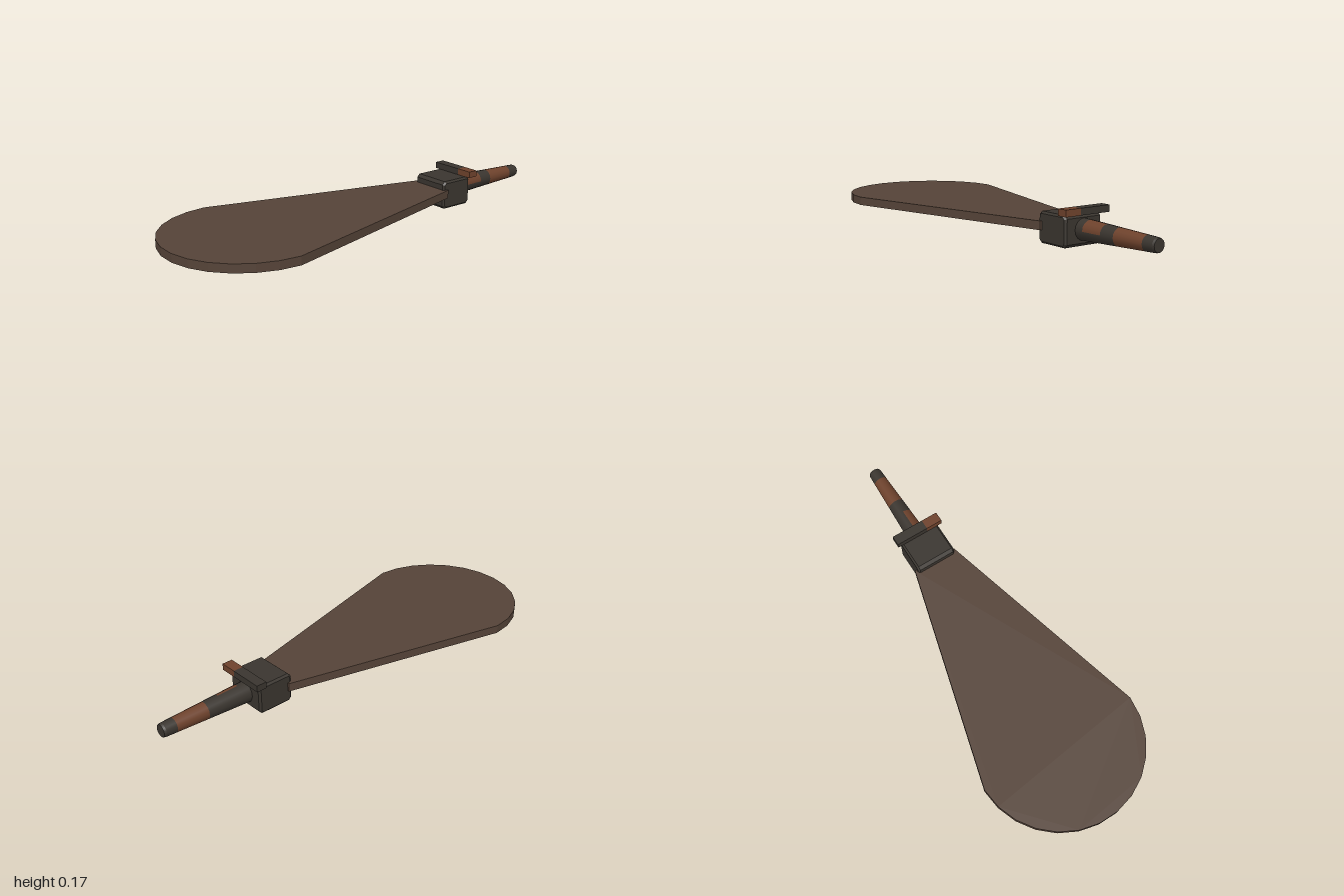
import * as THREE from 'three';

const mat = (name, color) => Object.assign(new THREE.MeshStandardMaterial({ color }), { name });

export function createModel() {
  const group = new THREE.Group();
  const wood = mat('brown wood', 0x554338);
  const iron = mat('dark iron', 0x3a352f);
  const rust = mat('rust', 0x6e422c);

  const add = (name, geometry, material) => {
    const mesh = new THREE.Mesh(geometry, material);
    mesh.name = name;
    group.add(mesh);
    return mesh;
  };

  // Teardrop paddle: half-round end, straight sides tapering to the block
  const outline = new THREE.Shape();
  outline.moveTo(0.43, 0.108);
  for (let i = 0; i <= 13; i++) {
    const a = Math.PI / 2 + (i / 13) * Math.PI;
    outline.lineTo(-0.617 + Math.cos(a) * 0.386, Math.sin(a) * 0.386);
  }
  outline.lineTo(0.43, -0.108);
  const paddle = new THREE.ExtrudeGeometry(outline, { depth: 0.039, bevelEnabled: false });
  paddle.rotateX(-Math.PI / 2).translate(0, 0.057, 0);
  add('paddle', paddle, wood);

  // Block with chamfered edges all round
  const c = 0.009, w = 0.0865 - c, h = 0.068 - c;
  const section = new THREE.Shape([
    [w, -h + c], [w, h - c], [w - c, h], [-w + c, h],
    [-w, h - c], [-w, -h + c], [-w + c, -h], [w - c, -h],
  ].map(([x, y]) => new THREE.Vector2(x, y)));
  const block = new THREE.ExtrudeGeometry(section, {
    depth: 0.198 - 2 * c, bevelThickness: c, bevelSize: c, bevelSegments: 1,
  });
  block.translate(0.4935, 0.068, -0.099 + c);
  add('block', block, iron);

  // Crossbar on top of the block, rusted at its front end
  const bar = (name, z0, z1, material) => {
    const mesh = add(name, new THREE.BoxGeometry(0.048, 0.03, z1 - z0), material);
    mesh.position.set(0.581, 0.151, (z0 + z1) / 2);
  };
  bar('crossbar', -0.119, 0.04, iron);
  bar('crossbarRustedEnd', 0.04, 0.119, rust);

  // Tapered nozzle, made of bands along x that may cover part of the turn
  const radius = (x) => 0.048 - ((x - 0.57) / 0.42) * 0.017;
  const band = (name, x0, x1, material, start = 0, length = Math.PI * 2, r1 = radius(x1)) => {
    const sides = Math.round((length / (Math.PI * 2)) * 16);
    const g = new THREE.CylinderGeometry(r1, radius(x0), x1 - x0, sides, 1, true, start, length);
    g.rotateZ(-Math.PI / 2).translate((x0 + x1) / 2, 0.072, 0);
    add(name, g, material);
  };
  const turn = Math.PI * 2, up = -Math.PI / 2;
  band('nozzleBase', 0.57, 0.62, iron);
  band('nozzleRustPatch', 0.62, 0.72, rust, up, turn / 4);
  band('nozzleShaft', 0.62, 0.72, iron, 0, turn * 0.75);
  band('nozzleNeck', 0.72, 0.79, iron);
  band('nozzleRustBand', 0.79, 0.94, rust);
  band('nozzleTip', 0.94, 0.99, iron);
  band('nozzleRim', 0.99, 1, iron, 0, turn, 0.028);
  const end = new THREE.CircleGeometry(0.028, 16);
  end.rotateY(Math.PI / 2).translate(1, 0.072, 0);
  add('nozzleEnd', end, iron);

  return group;
}
